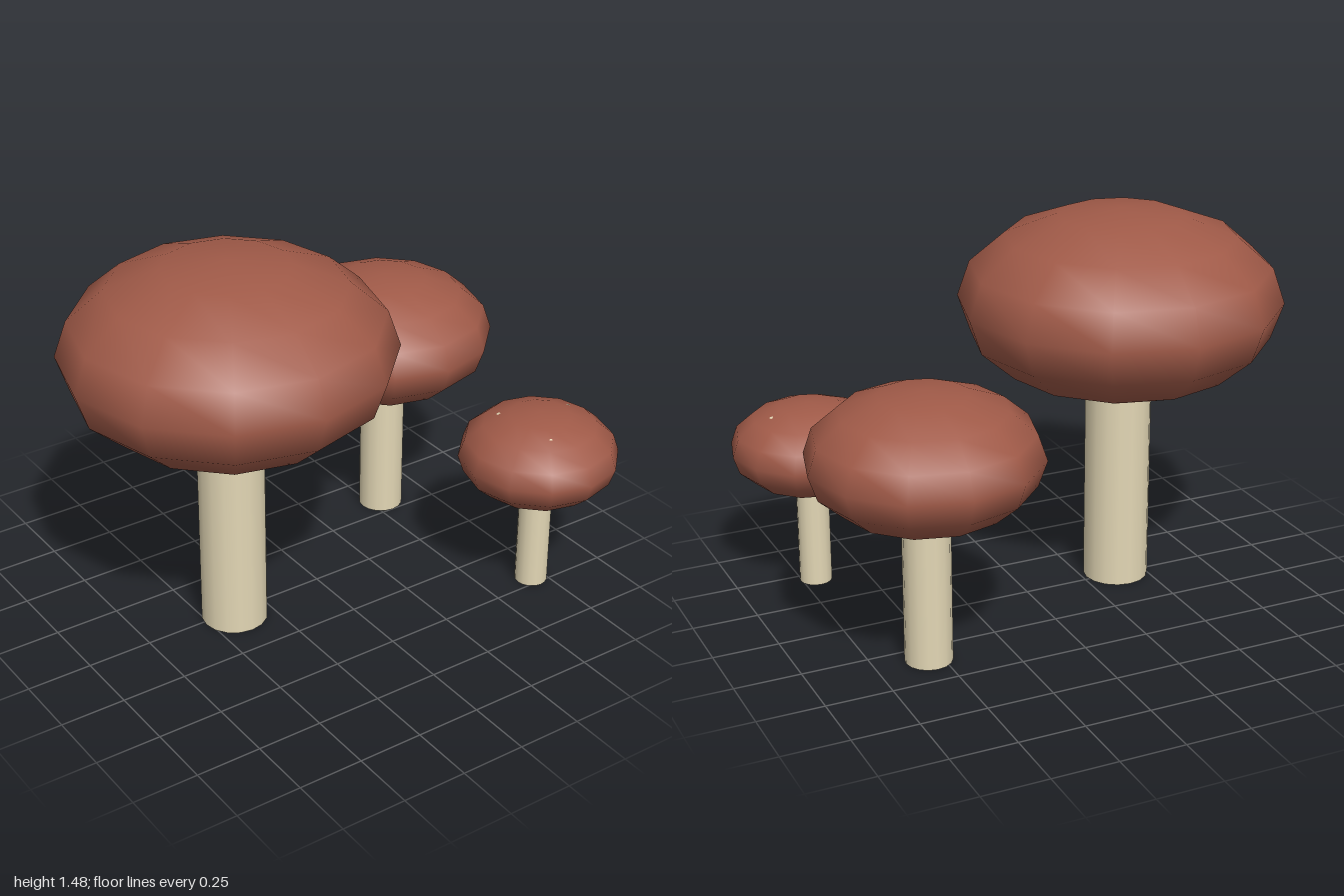
import * as THREE from 'three';

const capMaterial = new THREE.MeshStandardMaterial({ color: 0xa05a48 });
const stemMaterial = new THREE.MeshStandardMaterial({ color: 0xe3d7b5 });

function addMesh(parent, name, geometry, material, x, y, z) {
  const mesh = new THREE.Mesh(geometry, material);
  mesh.name = name;
  mesh.position.set(x, y, z);
  parent.add(mesh);
  return mesh;
}

// One mushroom: a round stem reaching into a flattened, low-poly cap
function createMushroom({ name, x, z, capY, capRadius, stemRadius }) {
  const mushroom = new THREE.Group();
  mushroom.name = name;
  mushroom.position.set(x, 0, z);

  addMesh(mushroom, 'stem', new THREE.CylinderGeometry(stemRadius, stemRadius, capY, 16),
    stemMaterial, 0, capY / 2, 0);

  const cap = new THREE.SphereGeometry(capRadius, 12, 8).scale(1, 0.58, 1);
  addMesh(mushroom, 'cap', cap, capMaterial, 0, capY, 0);
  return mushroom;
}

export function createModel() {
  const model = new THREE.Group();
  model.name = 'mushrooms';

  const large = createMushroom({ name: 'largeMushroom', x: -0.39, z: 0.02, capY: 1.122, capRadius: 0.61, stemRadius: 0.125 });
  const medium = createMushroom({ name: 'mediumMushroom', x: 0.548, z: -0.337, capY: 0.787, capRadius: 0.427, stemRadius: 0.088 });
  const small = createMushroom({ name: 'smallMushroom', x: 0.695, z: 0.457, capY: 0.561, capRadius: 0.305, stemRadius: 0.0625 });

  // Pale spots that barely break through the small cap
  for (const degrees of [-8, 116, 229]) {
    const a = THREE.MathUtils.degToRad(degrees);
    addMesh(small, 'spot', new THREE.SphereGeometry(0.025, 8, 6), stemMaterial,
      0.15 * Math.cos(a), 0.685, 0.15 * Math.sin(a));
  }

  model.add(large, medium, small);
  return model;
}
